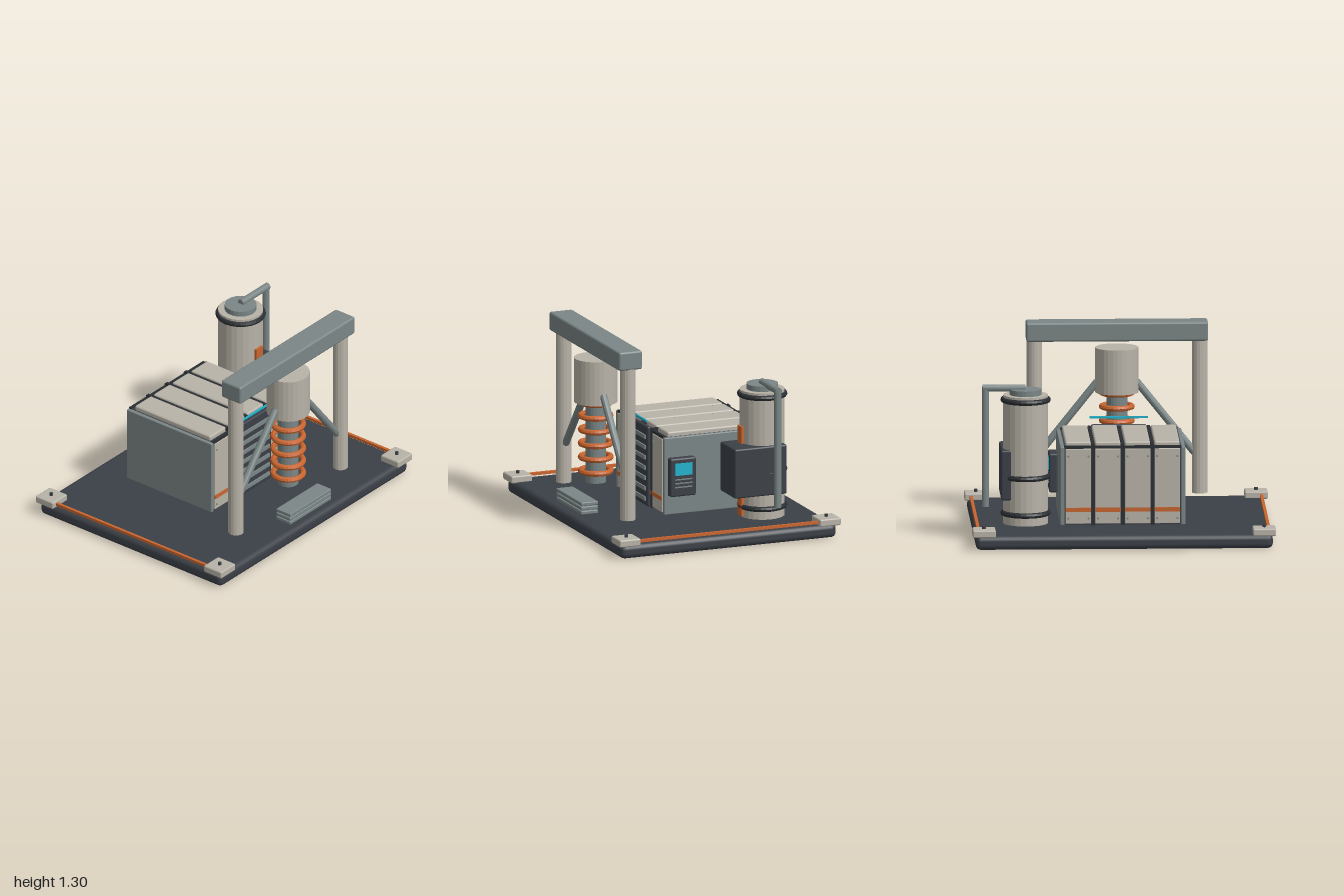
import * as THREE from 'three';
import { RoundedBoxGeometry } from 'three/addons/geometries/RoundedBoxGeometry.js';

const mat = (name, color) => {
  const m = new THREE.MeshStandardMaterial({ color });
  m.name = name;
  return m;
};

export function createModel() {
  const charcoal = mat('charcoal', 0x3b4047);
  const rubber = mat('black rubber', 0x2b2f33);
  const cream = mat('cream paint', 0xb8b3a8);
  const steel = mat('grey steel', 0x7b8686);
  const orange = mat('orange', 0xc8652f);
  const cyan = mat('cyan glow', 0x22b2cc);

  const model = new THREE.Group();
  model.name = 'powerStation';

  const group = (name, parent = model) => {
    const g = new THREE.Group();
    g.name = name;
    parent.add(g);
    return g;
  };
  const add = (parent, name, geo, material, x = 0, y = 0, z = 0) => {
    const m = new THREE.Mesh(geo, material);
    m.name = name;
    m.position.set(x, y, z);
    parent.add(m);
    return m;
  };
  // Box given by its extents, with an optional rounded edge
  const box = (parent, name, material, [x0, x1], [y0, y1], [z0, z1], r = 0) => {
    const s = [x1 - x0, y1 - y0, z1 - z0];
    const geo = r ? new RoundedBoxGeometry(...s, 2, r) : new THREE.BoxGeometry(...s);
    return add(parent, name, geo, material, (x0 + x1) / 2, (y0 + y1) / 2, (z0 + z1) / 2);
  };
  // Faceted geometry
  const facet = (geo) => {
    const g = geo.toNonIndexed();
    g.computeVertexNormals();
    return g;
  };
  const cyl = (parent, name, material, r, y0, y1, x, z, sides = 20) =>
    add(parent, name, facet(new THREE.CylinderGeometry(r, r, y1 - y0, sides)), material, x, (y0 + y1) / 2, z);
  const rod = (parent, name, material, a, b, r, sides = 12) => {
    const p = new THREE.Vector3(...a), q = new THREE.Vector3(...b);
    const d = q.clone().sub(p);
    const m = add(parent, name, facet(new THREE.CylinderGeometry(r, r, d.length(), sides)), material);
    m.position.copy(p).add(q).multiplyScalar(0.5);
    m.quaternion.setFromUnitVectors(new THREE.Vector3(0, 1, 0), d.normalize());
    return m;
  };
  const ring = (parent, name, material, R, r, x, y, z) => {
    const geo = facet(new THREE.TorusGeometry(R, r, 8, 28));
    geo.rotateX(Math.PI / 2);
    return add(parent, name, geo, material, x, y, z);
  };

  // Base slab with corner pads and side strips
  const base = group('base');
  box(base, 'slab', charcoal, [-0.98, 0.98], [0.003, 0.097], [-0.77, 0.77], 0.035);
  for (const sx of [-1, 1]) {
    box(base, 'edgeStrip', orange, [sx * 0.957 - 0.01, sx * 0.957 + 0.01], [0.105, 0.124], [-0.66, 0.66]);
    for (const sz of [-1, 1]) {
      const x = sx * 0.924, z = sz * 0.715;
      box(base, 'cornerPad', cream, [x - 0.076, x + 0.076], [0.09, 0.14], [z - 0.075, z + 0.075], 0.01);
      cyl(base, 'padBolt', charcoal, 0.012, 0.14, 0.157, x, z, 8);
    }
  }

  // Housing: dark core between steel side plates
  const housing = group('housing');
  box(housing, 'core', charcoal, [-0.388, 0.388], [0.12, 0.64], [-0.475, 0.212]);
  for (const s of [-1, 1])
    box(housing, 'sidePlate', steel, [s * 0.398 - 0.014, s * 0.398 + 0.014], [0.12, 0.642], [-0.492, 0.228], 0.006);
  for (const x of [-0.293, -0.098, 0.098, 0.293]) {
    const span = [x - 0.084, x + 0.084];
    box(housing, 'topPanel', cream, span, [0.63, 0.672], [-0.452, 0.19], 0.012);
    for (const [z, out] of [[-0.475, -1], [0.212, 1]]) {
      const face = z + out * 0.009;
      const slab = (d) => [face - d, face + d];
      box(housing, 'endPanel', cream, span, [0.13, 0.63], slab(0.009), 0.004);
      box(housing, 'panelStripe', orange, span, [0.21, 0.238], [face + out * 0.01 - 0.003, face + out * 0.01 + 0.003]);
      for (const bx of [-0.067, 0.067])
        for (const y of [0.165, 0.58])
          rod(housing, 'panelBolt', steel, [x + bx, y, face], [x + bx, y, face + out * 0.013], 0.007, 8);
    }
  }
  // Dark ribs over the panel seams
  for (const x of [-0.196, 0, 0.196]) {
    const span = [x - 0.011, x + 0.011];
    box(housing, 'topRib', rubber, span, [0.63, 0.662], [-0.49, 0.225]);
    box(housing, 'backRib', rubber, span, [0.12, 0.655], [-0.496, -0.47]);
    box(housing, 'frontRib', rubber, span, [0.12, 0.655], [0.205, 0.232]);
  }
  for (const z of [-0.482, 0.218])
    box(housing, 'crossRib', rubber, [-0.386, 0.386], [0.632, 0.65], [z - 0.009, z + 0.009]);

  // Front grille with slats and light bar
  const grille = group('grille');
  box(grille, 'grilleFrame', charcoal, [-0.182, 0.182], [0.125, 0.668], [0.224, 0.252], 0.012);
  for (let i = 0; i < 7; i++) {
    const y = 0.175 + i * 0.07;
    box(grille, 'slat', steel, [-0.16, 0.16], [y - 0.013, y + 0.013], [0.245, 0.262]);
  }
  box(grille, 'lightBar', cyan, [-0.195, 0.19], [0.703, 0.717], [0.256, 0.265]);

  // Control panel on the left side
  const control = group('controlPanel');
  box(control, 'controlCase', charcoal, [0.41, 0.467], [0.25, 0.51], [0.022, 0.206], 0.012);
  box(control, 'screen', cyan, [0.465, 0.474], [0.395, 0.477], [0.052, 0.175]);
  for (const y of [0.315, 0.341, 0.367])
    box(control, 'keyRow', steel, [0.465, 0.473], [y - 0.004, y + 0.004], [0.052, 0.175]);

  // Gantry frame
  const Z = 0.545;
  const gantry = group('gantry');
  box(gantry, 'beam', steel, [-0.6, 0.6], [1.18, 1.307], [0.462, 0.628], 0.014);
  for (const s of [-1, 1]) {
    cyl(gantry, 'post', cream, 0.051, 0.155, 1.185, s * 0.546, Z, 16);
    rod(gantry, 'brace', steel, [s * 0.13, 0.9, Z], [s * 0.51, 0.425, Z], 0.025);
  }

  // Coil column
  const coil = group('coilColumn');
  cyl(coil, 'head', cream, 0.143, 0.83, 1.13, 0, Z, 28);
  cyl(coil, 'core', steel, 0.069, 0.285, 0.85, 0, Z, 20);
  for (let i = 0; i < 6; i++) ring(coil, 'coilRing', orange, 0.1, 0.019, 0, 0.36 + i * 0.0935, Z);

  // Steps in front of the coil
  const steps = group('steps');
  for (let i = 0; i < 3; i++) {
    const y = 0.125 + i * 0.029;
    box(steps, 'step', steel, [-0.215, 0.215], [y, y + 0.025], [0.617, 0.738], 0.006);
  }

  // Tank with bands, cap, side box and outlet pipe
  const tx = 0.637, tz = -0.377;
  const tank = group('tank');
  cyl(tank, 'tankBody', cream, 0.149, 0.12, 0.978, tx, tz, 24);
  cyl(tank, 'tankCap', steel, 0.105, 0.97, 1.014, tx, tz, 24);
  for (const y of [0.19, 0.435, 0.945]) ring(tank, 'tankBand', rubber, 0.149, 0.018, tx, y, tz);
  box(tank, 'tankStripe', orange, [0.602, 0.67], [0.13, 0.736], [-0.235, -0.214]);
  box(tank, 'equipmentBox', charcoal, [0.548, 0.802], [0.287, 0.622], [-0.487, -0.113], 0.012);
  rod(tank, 'outletArm', steel, [tx, 1.022, tz], [0.92, 1.022, tz], 0.024);
  rod(tank, 'outletPipe', steel, [0.902, 0.23, tz], [0.902, 1.03, tz], 0.024);

  return model;
}
